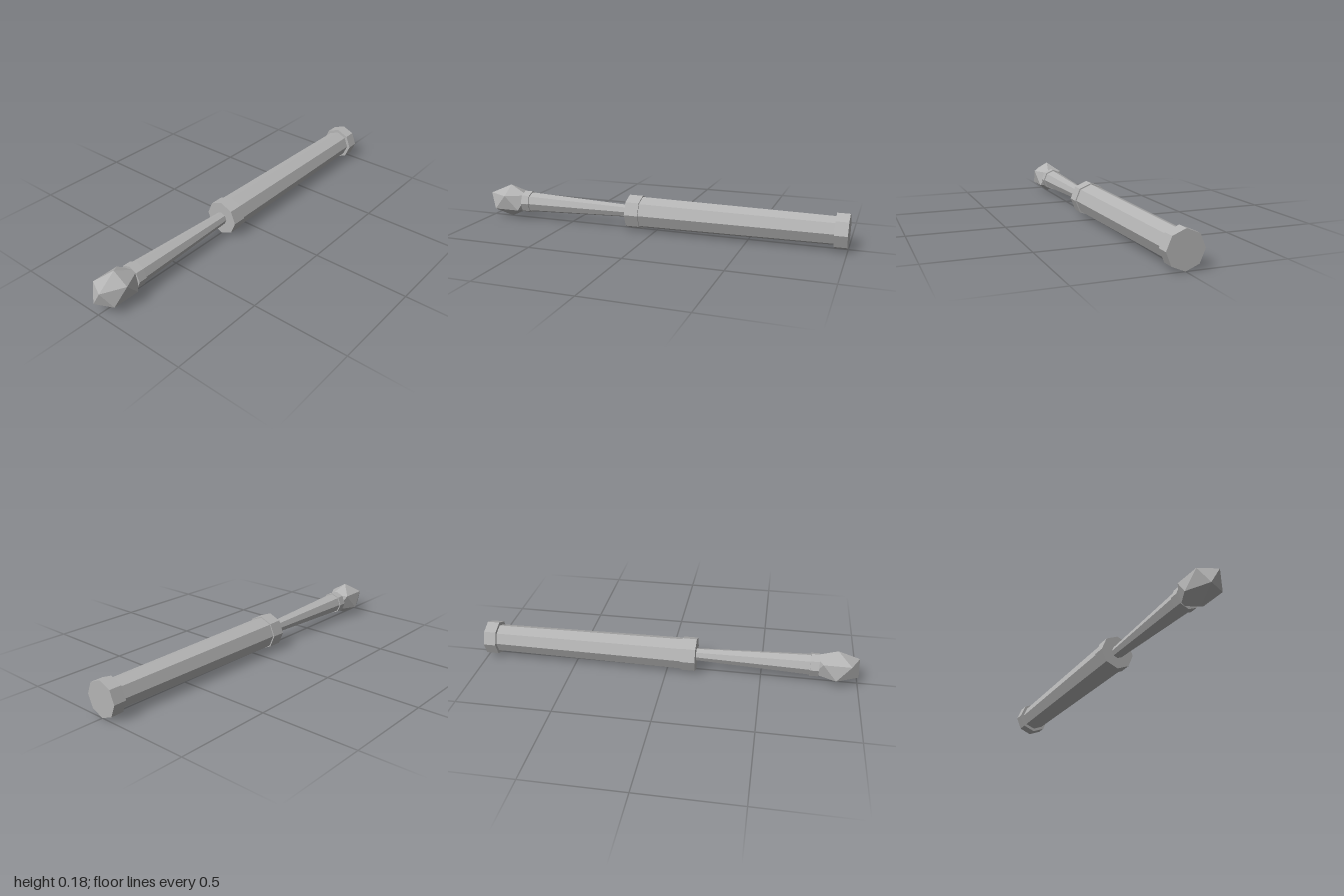
import * as THREE from 'three';

export function createModel() {
  const model = new THREE.Group();
  const grey = new THREE.MeshStandardMaterial({ color: 0xb4b4b4, flatShading: true });
  grey.name = 'plain grey';
  const axisY = 0.0915;

  // Eight-sided section along z, from a back end to a front end
  function section(name, zBack, zFront, rBack, rFront) {
    const geometry = new THREE.CylinderGeometry(rFront, rBack, zFront - zBack, 8);
    geometry.rotateX(Math.PI / 2);
    const mesh = new THREE.Mesh(geometry, grey);
    mesh.name = name;
    mesh.position.set(0, axisY, (zBack + zFront) / 2);
    model.add(mesh);
  }

  section('endCap', -1, -0.935, 0.0915, 0.0915);
  section('grip', -0.935, 0.08, 0.074, 0.085);
  section('gripCollar', 0.08, 0.155, 0.0915, 0.0915);
  section('shaft', 0.155, 0.755, 0.033, 0.056);
  section('tipCollar', 0.75, 0.795, 0.062, 0.062);

  // Faceted tip: an icosahedron with a corner up, stretched along the shaft
  const tipGeometry = new THREE.IcosahedronGeometry(0.0915, 0);
  tipGeometry.rotateZ(-Math.atan(2 / (1 + Math.sqrt(5))));
  tipGeometry.scale(1, 1, 1.48);
  const tip = new THREE.Mesh(tipGeometry, grey);
  tip.name = 'tip';
  tip.position.set(0, axisY, 0.885);
  model.add(tip);

  return model;
}
